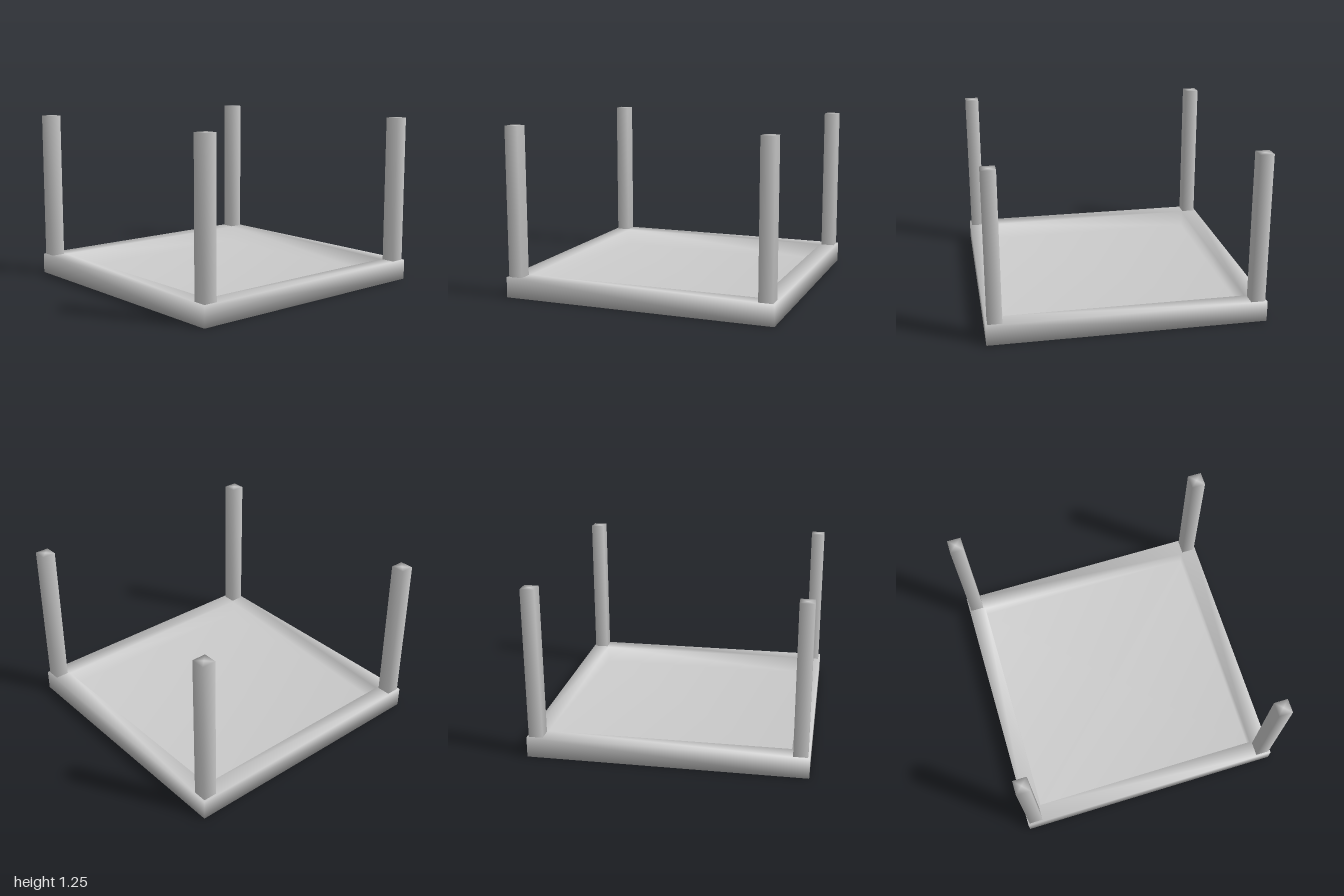
import * as THREE from 'three';

const material = new THREE.MeshStandardMaterial({ color: 0xcccccc });

// Square solid turned from a [half width, height] profile, with softly shaded corners
function squareTurned(name, profile) {
  const points = profile.map(([half, y]) => new THREE.Vector2(half * Math.SQRT2, y));
  const geometry = new THREE.LatheGeometry(points, 4);
  geometry.rotateY(Math.PI / 4);
  const mesh = new THREE.Mesh(geometry, material);
  mesh.name = name;
  return mesh;
}

export function createModel() {
  const model = new THREE.Group();
  model.name = 'upturnedTable';

  // Table top lying face down: a thin panel inside a deep rim
  const height = 0.15, rimInner = 0.87, panelY = 0.02;
  model.add(squareTurned('tableTop', [
    [0, 0], [1, 0], [1, height], [rimInner, height], [rimInner, panelY], [0, panelY],
  ]));

  // Four square legs standing on the rim corners
  const legHalf = 0.051, legTop = 1.245, legOffset = 0.935;
  for (const [x, side] of [[-1, 'Right'], [1, 'Left']]) {
    for (const [z, end] of [[1, 'front'], [-1, 'back']]) {
      const leg = squareTurned(end + side + 'Leg', [
        [0, height], [legHalf, height], [legHalf, legTop], [0, legTop],
      ]);
      leg.position.set(x * legOffset, 0, z * legOffset);
      model.add(leg);
    }
  }
  return model;
}
